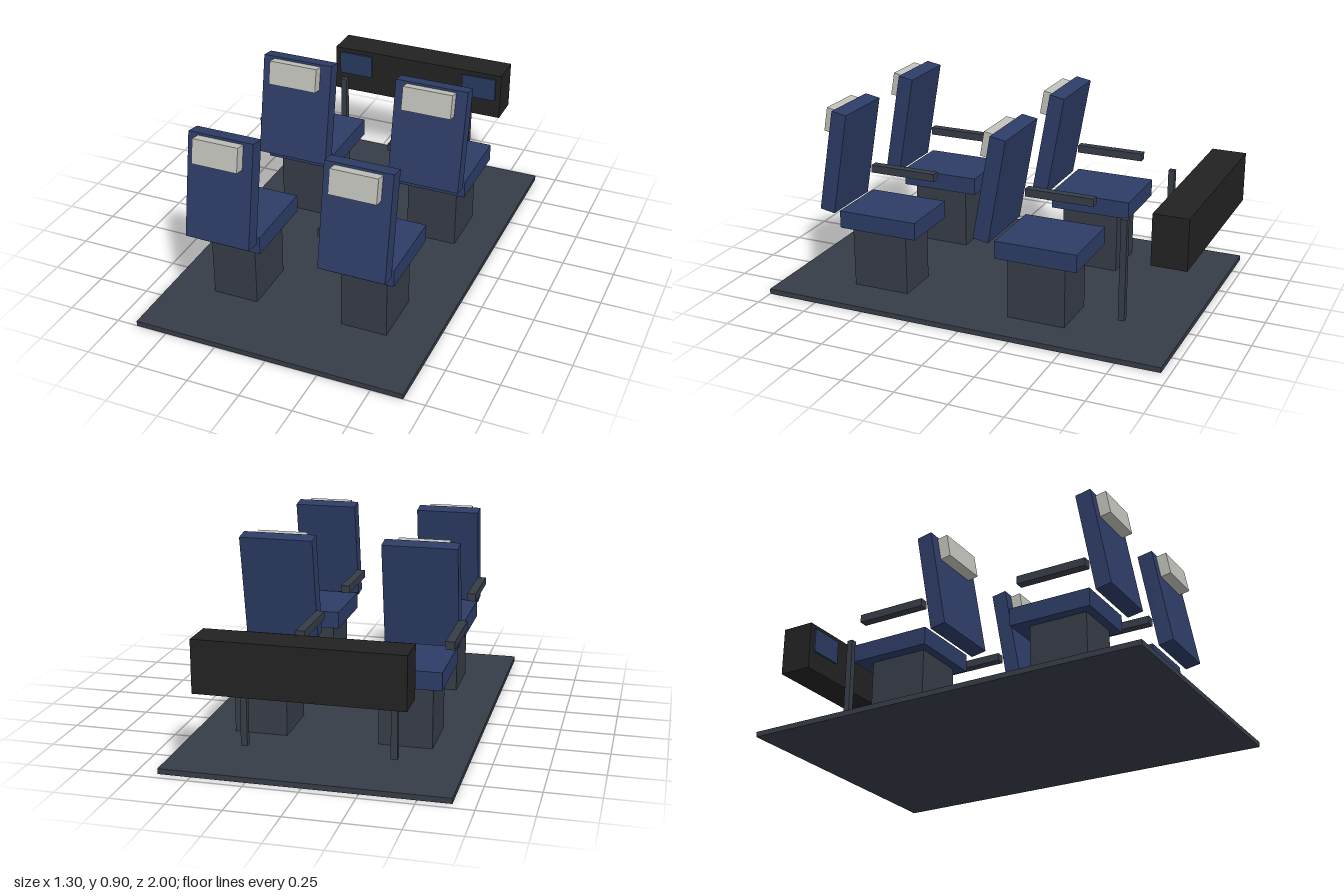
import * as THREE from 'three';

const material = (name, color) => {
  const m = new THREE.MeshStandardMaterial({ color });
  m.name = name;
  return m;
};

export function createModel() {
  const model = new THREE.Group();
  model.name = 'seatingPlatform';

  const blue = material('blueUpholstery', 0x2d3c66);
  const grey = material('darkGrey', 0x363c47);
  const pale = material('paleGrey', 0xc0c0ba);
  const black = material('black', 0x222222);
  const screenBlue = material('screenBlue', 0x293a60);

  // Box given by its size and centre
  const box = (parent, name, mat, [w, h, d], [x, y, z]) => {
    const mesh = new THREE.Mesh(new THREE.BoxGeometry(w, h, d), mat);
    mesh.name = name;
    mesh.position.set(x, y, z);
    parent.add(mesh);
    return mesh;
  };

  box(model, 'floor', grey, [1.3, 0.025, 1.96], [0, 0.0125, 0.02]);

  // Seat: origin on the ground below the middle of the cushion
  const addSeat = (name, x, z, width, baseWidth, headWidth) => {
    const seat = new THREE.Group();
    seat.name = name;
    seat.position.set(x, 0, z);
    model.add(seat);
    box(seat, 'pedestal', grey, [baseWidth, 0.305, 0.28], [0, 0.1775, 0.017]);
    box(seat, 'cushion', blue, [width, 0.085, 0.395], [0, 0.3725, 0]);
    // One armrest, always on the -x side
    box(seat, 'armrest', grey, [0.042, 0.038, 0.34], [-width / 2 - 0.021, 0.522, 0.032]);

    // Backrest and headrest share one tilt
    const back = new THREE.Group();
    back.name = 'back';
    back.position.set(0, 0.651, 0.222);
    back.rotation.x = -THREE.MathUtils.degToRad(10);
    seat.add(back);
    box(back, 'backrest', blue, [width, 0.5, 0.076], [0, 0, 0]);
    box(back, 'headrest', pale, [headWidth, 0.116, 0.056], [0, 0.181, 0.062]);
  };

  for (const side of [-1, 1]) {
    const label = side > 0 ? 'left' : 'right';
    addSeat(label + 'NearSeat', side * 0.323, 0.495, 0.315, 0.22, 0.22);
    addSeat(label + 'FarSeat', side * 0.342, -0.322, 0.355, 0.25, 0.244);

    // Control posts and console screens
    box(model, label + 'Post', grey, [0.03, 0.49, 0.03], [side * 0.343, 0.302, -0.675]);
    box(model, label + 'Screen', screenBlue, [0.18, 0.12, 0.009], [side * 0.344, 0.557, -0.8315]);
  }

  box(model, 'console', black, [0.925, 0.24, 0.164], [0, 0.52, -0.918]);
  return model;
}
